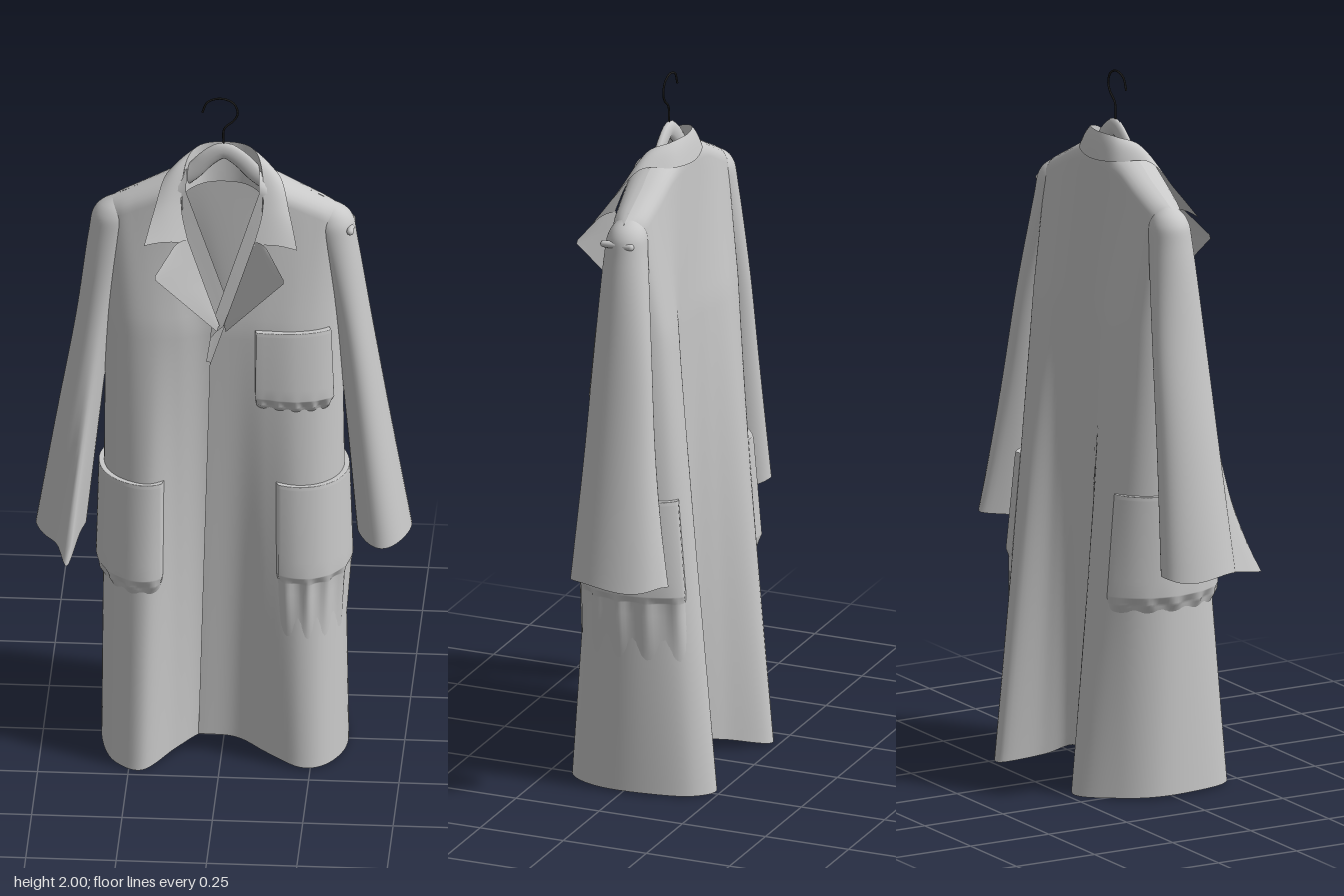
import * as THREE from 'three';
import { mergeVertices } from 'three/addons/utils/BufferGeometryUtils.js';

const cloth = new THREE.MeshStandardMaterial({ color: 0xc8c8c8, side: THREE.DoubleSide });
cloth.name = 'grey cloth';
const wire = new THREE.MeshStandardMaterial({ color: 0x1c1c1c });
wire.name = 'dark wire';

const V = (p) => new THREE.Vector3(p[0], p[1], p[2]);
const curve = (pts) => new THREE.CatmullRomCurve3(pts.map(V), false, 'catmullrom', 0.5);
const mirror = (pts) => pts.map(([x, y, z]) => [-x, y, z]);
const around = (half, back) => [...half, back, ...mirror(half).reverse()];

// Smooth grid surface from fn(u, v) -> Vector3
function surface(name, fn, nu, nv) {
  const pos = [], idx = [];
  for (let j = 0; j <= nv; j++)
    for (let i = 0; i <= nu; i++) pos.push(...fn(i / nu, j / nv).toArray());
  for (let j = 0; j < nv; j++)
    for (let i = 0; i < nu; i++) {
      const a = j * (nu + 1) + i, b = a + 1, c = a + nu + 1, d = c + 1;
      idx.push(a, c, b, b, c, d);
    }
  let g = new THREE.BufferGeometry();
  g.setAttribute('position', new THREE.Float32BufferAttribute(pos, 3));
  g.setIndex(idx);
  g = mergeVertices(g, 1e-5);
  g.computeVertexNormals();
  const m = new THREE.Mesh(g, cloth);
  m.name = name;
  return m;
}

// Coat body outlines, from the right front edge (tucked under) around the back to the left front edge
const hem = curve([
  [0.08, 0.05, 0.055], [-0.04, 0.05, 0.078], [-0.12, 0.03, 0.14], [-0.21, 0, 0.224], [-0.29, 0.002, 0.185],
  [-0.33, 0.005, 0.08], [-0.335, 0.005, -0.05], [-0.28, 0.002, -0.15], [-0.17, 0, -0.23], [-0.07, 0.03, -0.13],
  [0.02, 0.05, -0.06], [0.12, 0.05, -0.06], [0.17, 0.02, -0.12], [0.22, 0, -0.234], [0.3, 0, -0.19],
  [0.34, 0.004, -0.06], [0.34, 0.004, 0.07], [0.29, 0.002, 0.165], [0.22, 0.005, 0.19], [0.13, 0.025, 0.15],
  [0.04, 0.045, 0.1], [-0.065, 0.05, 0.095]]);
const chestRing = [
  [0.04, 0.085], [-0.045, 0.09], [-0.12, 0.11], [-0.19, 0.115], [-0.26, 0.1], [-0.315, 0.06], [-0.325, -0.01],
  [-0.28, -0.08], [-0.17, -0.104], [-0.07, -0.085], [0, -0.07], [0.08, -0.07], [0.14, -0.085], [0.2, -0.104],
  [0.28, -0.09], [0.325, -0.01], [0.315, 0.05], [0.27, 0.09], [0.2, 0.11], [0.12, 0.11], [0.05, 0.105], [-0.03, 0.1]];
const chest = curve(chestRing.map(([x, z]) => [x, 1.33, z]));
// Right half of the shoulder seam: x, y, seam z, z of the cloth just below it
const seamHalf = [
  [-0.1, 1.785, 0.03, 0.07], [-0.13, 1.77, 0, 0.07], [-0.18, 1.745, 0, 0.065], [-0.24, 1.715, 0, 0.058],
  [-0.285, 1.692, 0, 0.05], [-0.32, 1.673, 0, 0.03], [-0.325, 1.67, 0, -0.01], [-0.29, 1.69, 0, -0.045],
  [-0.21, 1.73, 0, -0.055], [-0.12, 1.775, 0, -0.058], [-0.05, 1.785, -0.045, -0.06]];
const below = seamHalf.map(([x, y, , z]) => [x * 1.01, y - 0.05, z]);
const seam = curve([...seamHalf, ...mirror(seamHalf).reverse()]);
const yoke = curve([...below, ...mirror(below).reverse()]);
const CHEST_T = 0.72, YOKE_T = 0.9;

function body(u, t) {
  const mid = chest.getPoint(u), high = yoke.getPoint(u);
  if (t <= CHEST_T) return hem.getPoint(u).lerp(mid, t / CHEST_T);
  if (t <= YOKE_T) return mid.lerp(high, (t - CHEST_T) / (YOKE_T - CHEST_T));
  // Rounded over the shoulder
  const a = ((t - YOKE_T) / (1 - YOKE_T)) * Math.PI / 2, top = seam.getPoint(u);
  const p = high.clone().lerp(top, Math.sin(a));
  return p.setZ(THREE.MathUtils.lerp(top.z, high.z, Math.cos(a)));
}

// Point on the body pushed outward
function offBody(u, t, d) {
  const e = 0.004, p = body(u, t);
  const du = body(Math.min(u + e, 1), t).sub(body(Math.max(u - e, 0), t));
  const dt = body(u, t + e).sub(body(u, t - e));
  return p.addScaledVector(dt.cross(du).normalize(), d);
}

const tOf = (y) => (y / 1.33) * CHEST_T;

// Puffed patch pocket following the body, with sagging folds below it
function pocket(name, i0, i1, yLo, yHi, puff, drop, folds) {
  const rows = [[yLo - drop, -0.004], [yLo - 0.01, 0.004], [yLo + 0.015, puff], [yHi - 0.012, puff * 0.75],
    [yHi, puff * 0.7], [yHi, -0.004]];
  return surface(name, (a, b) => {
    const k = Math.min(b * 5, 4.9999), j = Math.floor(k), f = k - j;
    const y = THREE.MathUtils.lerp(rows[j][0], rows[j + 1][0], f);
    let d = THREE.MathUtils.lerp(rows[j][1], rows[j + 1][1], f);
    const crease = Math.pow(Math.abs(Math.sin(a * Math.PI * folds)), 3);
    if (j === 0) d += puff * crease * f * 0.6;
    if (j === 1) d += puff * crease * (1 - f) * 0.6;
    const rim = Math.min(1, Math.min(a, 1 - a) * 30);
    const u = (i0 + (i1 - i0) * a) / 21;
    return offBody(u, tOf(y), -0.004 + (d + 0.004) * rim);
  }, 60, 30);
}

// Sleeve from rings [x, y, z, rx, rz], with one pulled-out corner at the cuff
function sleeve(name, rings, spikeAngle, spike) {
  const mids = curve(rings), radii = curve(rings.map((r) => [r[3], r[4], 0]));
  return surface(name, (u, v) => {
    const c = mids.getPoint(v), r = radii.getPoint(v), a = -u * Math.PI * 2;
    const pull = spike * Math.pow(v, 8) * Math.pow(Math.max(0, Math.cos(a - spikeAngle)), 16);
    return c.add(new THREE.Vector3(
      Math.cos(a) * r.x, -pull * 0.2 + Math.sin(a * 3) * 0.006 * v ** 8,
      Math.sin(a) * r.y + Math.sin(spikeAngle) * pull));
  }, 48, 40);
}

// Cloth strip between two edge curves, lifted along its middle
function strip(name, inner, outer, lift, nu, straight) {
  const make = (pts) => {
    if (!straight) return curve(pts);
    const path = new THREE.CurvePath();
    for (let i = 0; i + 1 < pts.length; i++) path.add(new THREE.LineCurve3(V(pts[i]), V(pts[i + 1])));
    return path;
  };
  const a = make(inner), b = make(outer);
  return surface(name, (u, v) => {
    const p = a.getPoint(u).lerp(b.getPoint(u), v);
    return p.setY(p.y + Math.sin(v * Math.PI) * lift);
  }, nu, 8);
}

function tube(name, pts, radius, material, sides) {
  const m = new THREE.Mesh(new THREE.TubeGeometry(curve(pts), 48, radius, sides), material);
  m.name = name;
  m.position.z = 0.007;
  return m;
}

export function createModel() {
  const coat = new THREE.Group();
  coat.name = 'coatOnHanger';

  coat.add(surface('coatBody', body, 168, 60));

  // Sleeves, set into the shoulders
  coat.add(sleeve('rightSleeve', [
    [-0.285, 1.69, 0, 0.005, 0.006], [-0.302, 1.645, 0, 0.054, 0.049], [-0.316, 1.56, 0, 0.06, 0.062],
    [-0.359, 1.3, 0, 0.052, 0.08], [-0.403, 1, 0.004, 0.06, 0.094], [-0.45, 0.66, 0.008, 0.07, 0.112]],
  Math.PI * 0.36, 0.13));
  coat.add(sleeve('leftSleeve', [
    [0.285, 1.69, 0, 0.005, 0.006], [0.3, 1.645, 0, 0.052, 0.049], [0.314, 1.56, 0, 0.057, 0.063],
    [0.359, 1.3, -0.01, 0.052, 0.084], [0.399, 1, -0.017, 0.061, 0.104], [0.442, 0.66, -0.026, 0.076, 0.134]],
  -Math.PI * 0.58, 0.02));

  // Torn tab on the left shoulder
  const tab = new THREE.Mesh(new THREE.CapsuleGeometry(0.01, 0.08, 4, 10), cloth);
  tab.name = 'shoulderTab';
  tab.rotation.x = Math.PI / 2;
  tab.position.set(0.352, 1.615, 0.01);
  coat.add(tab);

  // Pockets
  coat.add(pocket('rightHipPocket', 2.45, 7.5, 0.56, 0.86, 0.02, 0.04, 7));
  coat.add(pocket('leftHipPocket', 13.7, 18.7, 0.57, 0.86, 0.02, 0.22, 7));
  coat.add(pocket('chestPocket', 16.5, 19.4, 1.11, 1.328, 0.024, 0.03, 5));

  // Collar running round the neck
  const fold = [[-0.09, 1.605, 0.13], [-0.113, 1.7, 0.085], [-0.105, 1.8, 0.03], [-0.072, 1.828, -0.03]];
  const fall = [[-0.212, 1.605, 0.15], [-0.188, 1.685, 0.092], [-0.157, 1.768, 0.025], [-0.1, 1.765, -0.05]];
  const nape = [0, 1.832, -0.05];
  coat.add(strip('collar', around(fold, nape), around(fall, [0, 1.757, -0.072]), 0.008, 64));

  // Inner neck band
  const bandLow = [[-0.11, 1.68, 0.08], [-0.105, 1.71, 0.03], [-0.06, 1.71, -0.03]];
  coat.add(strip('neckBand', around(fold.slice(1), nape), around(bandLow, [0, 1.71, -0.045]), 0, 40));

  // Lapels
  const roll = [[-0.005, 1.34, 0.112], [-0.05, 1.48, 0.118], [-0.092, 1.615, 0.128]];
  const edge = [[-0.012, 1.325, 0.118], [-0.182, 1.535, 0.21], [-0.128, 1.608, 0.152]];
  coat.add(strip('rightLapel', roll, edge, 0.006, 24, true));
  coat.add(strip('leftLapel', mirror(roll), mirror(edge), 0.006, 24, true));

  // Small folded flap at the top of the front opening
  coat.add(strip('frontFold', [[0.01, 1.345, 0.115], [-0.03, 1.22, 0.11]],
    [[-0.03, 1.31, 0.128], [-0.042, 1.23, 0.118]], 0.004, 8, true));

  // Hanger and hook
  const arm = [[-0.3, 1.635, 0], [-0.2, 1.695, 0], [-0.1, 1.755, 0], [-0.045, 1.81, 0]];
  const bar = tube('hangerBar', around(arm, [0, 1.835, 0]), 0.025, cloth, 12);
  bar.scale.z = 0.5;
  coat.add(bar);
  coat.add(tube('hangerHook', [[0, 1.84, 0], [0, 1.9, 0], [0.028, 1.93, 0], [0.038, 1.955, 0],
    [0.025, 1.985, 0], [-0.01, 1.997, 0], [-0.045, 1.985, 0], [-0.06, 1.952, 0]], 0.003, wire, 8));
  return coat;
}
